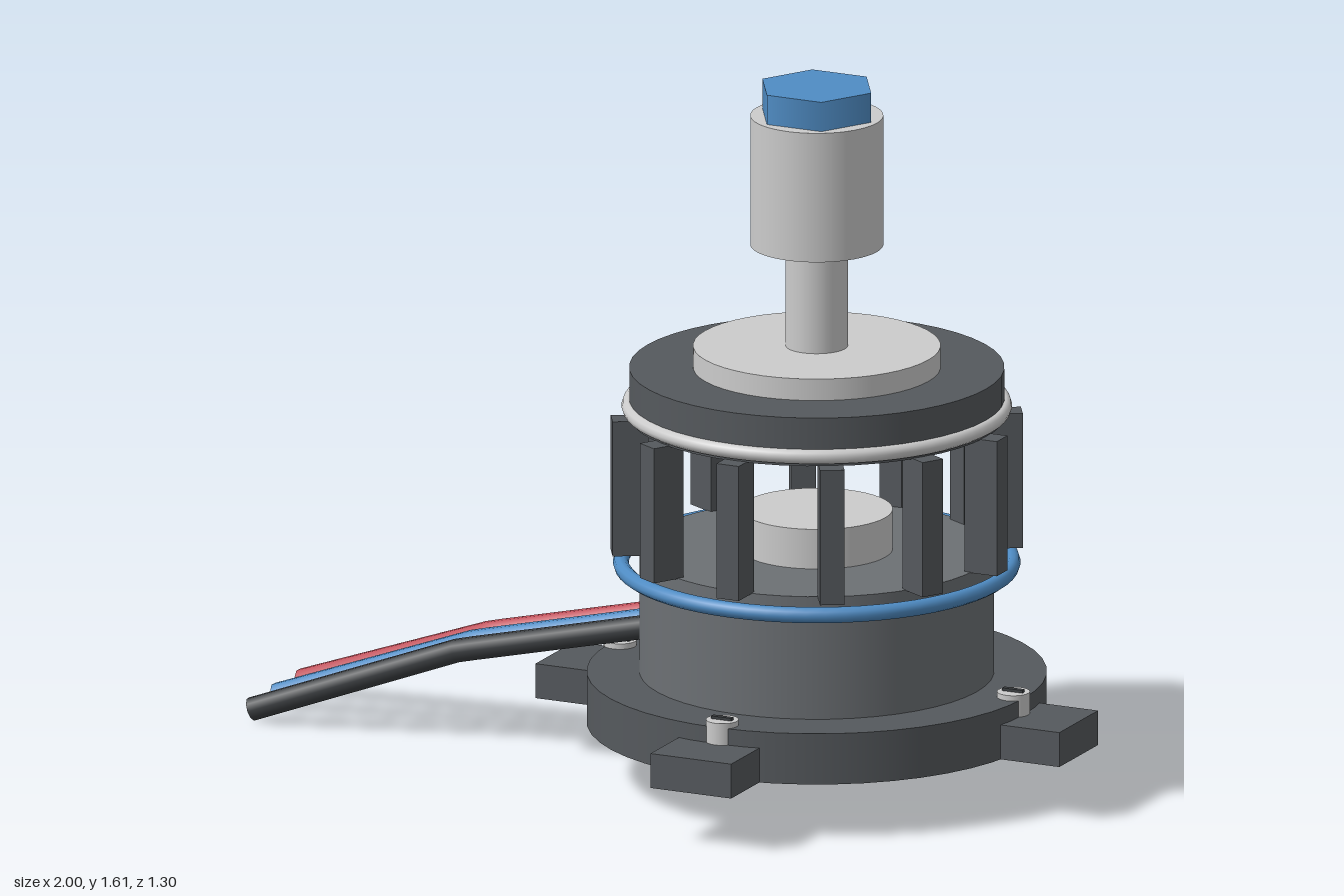
import * as THREE from 'three';

const mat = (color) => new THREE.MeshStandardMaterial({ color });

export function createModel() {
  const model = new THREE.Group();
  const dark = mat(0x55595d), body = mat(0x6c7074), grey = mat(0xcccccc);
  const blue = mat(0x4f8cc4), red = mat(0xc0505a), black = mat(0x3c3f42);

  // The motor stands on its own axis, right of the wire tails
  const motor = new THREE.Group();
  motor.name = 'motor';
  motor.position.x = 0.35;
  model.add(motor);

  const add = (parent, name, geometry, material, x = 0, y = 0, z = 0) => {
    const mesh = new THREE.Mesh(geometry, material);
    mesh.name = name;
    mesh.position.set(x, y, z);
    parent.add(mesh);
    return mesh;
  };
  const disc = (name, radius, y0, y1, material, sides = 48) =>
    add(motor, name, new THREE.CylinderGeometry(radius, radius, y1 - y0, sides), material, 0, (y0 + y1) / 2);
  const ring = (name, radius, tube, y, material) => {
    add(motor, name, new THREE.TorusGeometry(radius, tube, 10, 64), material, 0, y).rotation.x = Math.PI / 2;
  };

  // Stacked round parts, bottom to top
  disc('baseFlange', 0.515, 0.13, 0.248, dark);
  disc('lowerHousing', 0.397, 0.248, 0.533, body);
  disc('innerHub', 0.17, 0.533, 0.625, grey);
  disc('topCap', 0.42, 0.843, 0.955, dark);
  disc('topPlate', 0.277, 0.955, 1.005, grey);
  disc('shaft', 0.07, 1.005, 1.24, grey, 32);
  disc('coupling', 0.149, 1.24, 1.54, grey);
  const nut = disc('hexNut', 0.135, 1.54, 1.608, blue, 6);
  nut.rotation.y = Math.PI / 6;

  // Trim rings
  ring('lowerRing', 0.438, 0.018, 0.502, blue);
  ring('upperRing', 0.42, 0.017, 0.866, grey);

  // Cage of upright bars
  for (let i = 0; i < 12; i++) {
    const a = (i * Math.PI) / 6;
    const bar = add(motor, 'cageBar', new THREE.BoxGeometry(0.08, 0.313, 0.055), dark,
      0.42 * Math.cos(a), 0.688, -0.42 * Math.sin(a));
    bar.rotation.y = a;
  }

  // Four mounting tabs, each with a slotted screw beside it
  for (let i = 0; i < 4; i++) {
    const a = (i * Math.PI) / 2, c = Math.cos(a), s = Math.sin(a);
    const tab = add(motor, 'mountingTab', new THREE.BoxGeometry(0.25, 0.08, 0.2), dark, 0.525 * c, 0.17, -0.525 * s);
    tab.rotation.y = a;
    const screw = new THREE.Group();
    screw.name = 'screw';
    screw.position.set(0.488 * c, 0, -0.488 * s);
    add(screw, 'screwHead', new THREE.CylinderGeometry(0.037, 0.037, 0.055, 20), grey, 0, 0.233, 0);
    add(screw, 'screwSlot', new THREE.BoxGeometry(0.05, 0.008, 0.012), black, 0, 0.263, 0);
    motor.add(screw);
  }

  // Three wires fanning out from the housing
  [['redWire', red, -1], ['blueWire', blue, 0], ['blackWire', black, 1]].forEach(([name, material, k]) => {
    const pts = [
      new THREE.Vector3(0, 0.332, 0.08 * k),
      new THREE.Vector3(-0.5, 0.212, 0.08 * k),
      new THREE.Vector3(-0.99, 0.027, 0.13 * k),
    ];
    const path = new THREE.CurvePath();
    path.add(new THREE.LineCurve3(pts[0], pts[1]));
    path.add(new THREE.LineCurve3(pts[1], pts[2]));
    const wire = add(model, name, new THREE.TubeGeometry(path, 24, 0.027, 10), material);
    // Close the cut end
    const end = add(wire, 'wireEnd', new THREE.CircleGeometry(0.027, 10), material, pts[2].x, pts[2].y, pts[2].z);
    const dir = pts[2].clone().sub(pts[1]).normalize();
    end.quaternion.setFromUnitVectors(new THREE.Vector3(0, 0, 1), dir);
  });

  return model;
}
